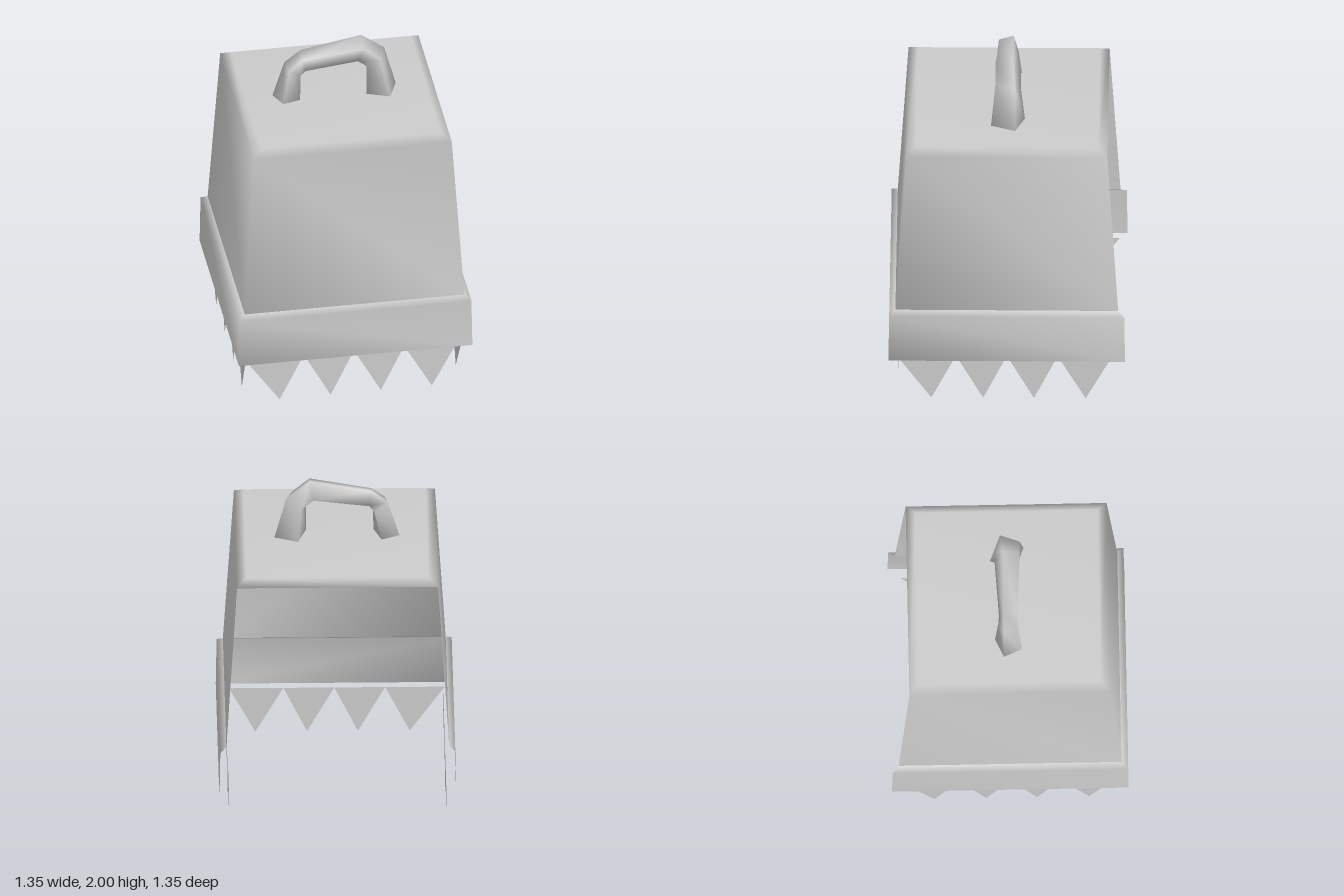
import * as THREE from 'three';

const material = new THREE.MeshStandardMaterial({ color: 0xcccccc, side: THREE.DoubleSide });

// Smooth skin over rows of four corners; spans[i] is how many sides join row i to row i + 1
function skin(name, rows, spans, capStart, capEnd) {
  const index = [];
  const quad = (a, b, c, d) => index.push(a, b, c, b, d, c);
  for (let i = 0; i < rows.length - 1; i++) {
    for (let j = 0; j < spans[i]; j++) {
      const k = (j + 1) % 4;
      quad(i * 4 + j, i * 4 + k, i * 4 + 4 + j, i * 4 + 4 + k);
    }
  }
  const e = rows.length * 4 - 4;
  if (capStart) index.push(0, 2, 1, 0, 3, 2);
  if (capEnd) index.push(e, e + 1, e + 2, e, e + 2, e + 3);
  const geometry = new THREE.BufferGeometry();
  geometry.setAttribute('position', new THREE.Float32BufferAttribute(rows.flat(2), 3));
  geometry.setIndex(index);
  geometry.computeVertexNormals();
  const mesh = new THREE.Mesh(geometry, material);
  mesh.name = name;
  return mesh;
}

// Square ring starting at the back, so that the fourth side is the open back
const ring = (half, y) => [[half, y, -half], [half, y, half], [-half, y, half], [-half, y, -half]];

// Flat row of four pointed teeth
function toothRow(name) {
  const row = new THREE.Group();
  row.name = name;
  const base = [-0.63, -0.29, 0, 0.29, 0.6];
  [-0.43, -0.135, 0.155, 0.45].forEach((tip, i) => {
    const shape = new THREE.Shape([
      new THREE.Vector2(base[i], 0.29),
      new THREE.Vector2(tip, 0.005),
      new THREE.Vector2(base[i + 1], 0.29),
    ]);
    const tooth = new THREE.Mesh(new THREE.ShapeGeometry(shape), material);
    tooth.name = 'tooth';
    tooth.position.z = 0.62;
    row.add(tooth);
  });
  return row;
}

export function createModel() {
  const group = new THREE.Group();
  group.name = 'toothedScoop';

  // Bucket body: bevelled lid and three flaring walls, open at the back
  group.add(skin('body', [ring(0.52, 1.645), ring(0.573, 1.61), ring(0.635, 0.61)], [4, 3], true, false));

  // Raised band around the mouth
  group.add(skin('rimBand', [ring(0.635, 0.61), ring(0.67, 0.585), ring(0.675, 0.29)], [3, 3], false, false));

  // Teeth below the front and both sides
  [['frontTeeth', 0], ['leftTeeth', Math.PI / 2], ['rightTeeth', -Math.PI / 2]].forEach(([name, turn]) => {
    const row = toothRow(name);
    row.rotation.y = turn;
    group.add(row);
  });

  // Crooked four-sided handle, from the right foot over to the left foot
  const foot = 1.635;
  group.add(skin('handle', [
    [[-0.365, foot, -0.03], [-0.32, foot, 0.075], [-0.215, foot, 0.045], [-0.26, foot, -0.08]],
    [[-0.295, 1.86, -0.03], [-0.28, 1.85, 0.055], [-0.21, 1.8, 0.03], [-0.22, 1.81, -0.06]],
    [[-0.2, 1.935, -0.03], [-0.2, 1.91, 0.05], [-0.18, 1.83, 0.035], [-0.19, 1.85, -0.055]],
    [[0.15, 2, -0.03], [0.15, 1.965, 0.07], [0.12, 1.865, 0.035], [0.13, 1.9, -0.075]],
    [[0.285, 1.895, -0.04], [0.25, 1.88, 0.07], [0.17, 1.83, 0.04], [0.2, 1.84, -0.075]],
    [[0.355, foot, -0.045], [0.3, foot, 0.095], [0.17, foot, 0.045], [0.22, foot, -0.1]],
  ], [4, 4, 4, 4, 4], true, true));

  return group;
}
